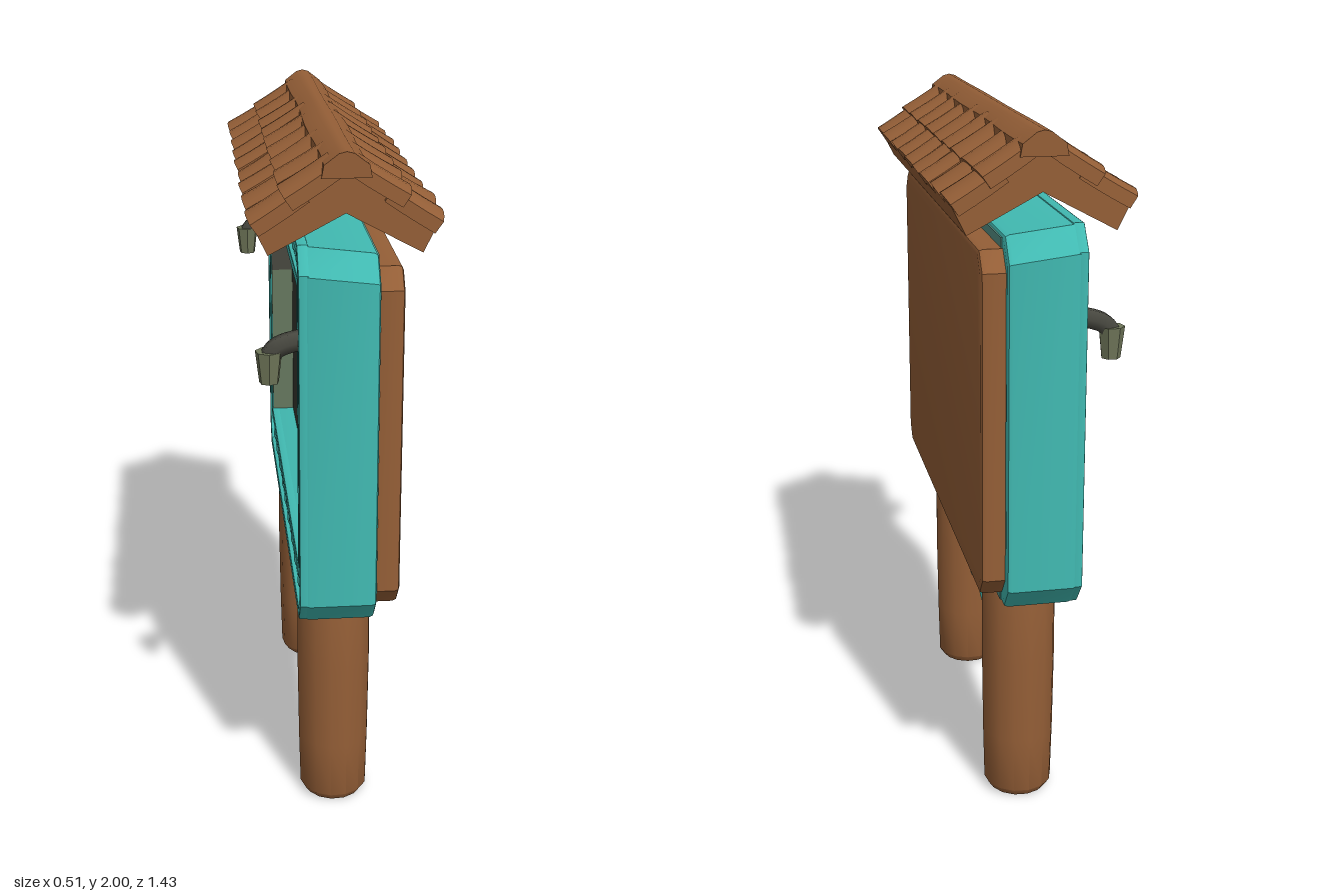
import * as THREE from 'three';
import { toCreasedNormals } from 'three/addons/utils/BufferGeometryUtils.js';

const mat = (name, color) => {
  const m = new THREE.MeshStandardMaterial({ color });
  m.name = name;
  return m;
};

// Small seeded generator for hand-cut irregularity
function seeded(seed) {
  return () => {
    seed = (seed * 16807) % 2147483647;
    return seed / 2147483647 - 0.5;
  };
}

// Rectangle with cut corners, in (z, y)
function cutRect(Type, halfW, y0, y1, c) {
  const p = new Type();
  p.moveTo(-halfW + c, y0);
  p.lineTo(halfW - c, y0);
  p.lineTo(halfW, y0 + c * 1.2);
  p.lineTo(halfW, y1 - c * 1.2);
  p.lineTo(halfW - c, y1);
  p.lineTo(-halfW + c, y1);
  p.lineTo(-halfW, y1 - c * 1.2);
  p.lineTo(-halfW, y0 + c * 1.2);
  p.closePath();
  return p;
}

// Extrude a (z, y) shape along x from x0 to x1
function slab(shape, x0, x1, bevel) {
  const g = new THREE.ExtrudeGeometry(shape, {
    depth: x1 - x0 - 2 * bevel, bevelEnabled: bevel > 0,
    bevelThickness: bevel, bevelSize: bevel, bevelOffset: -bevel, bevelSegments: 2,
  });
  g.rotateY(Math.PI / 2);
  g.translate(x0 + bevel, 0, 0);
  return toCreasedNormals(g, 0.6);
}

function ring(outer, inner) {
  const s = cutRect(THREE.Shape, ...outer);
  s.holes.push(cutRect(THREE.Path, ...inner));
  return s;
}

const polygon = (pts) => new THREE.Shape(pts.map(([x, y]) => new THREE.Vector2(x, y)));

export function createModel() {
  const root = new THREE.Group();
  root.name = 'noticeBoard';
  const wood = mat('brownWood', 0x955f37);
  const teal = mat('tealPaint', 0x41bab2);
  const wornTeal = mat('wornTeal', 0x579387);
  const tan = mat('tanWood', 0x8d8558);
  const dark = mat('darkPanel', 0x36362f);
  const greyGreen = mat('greyGreenLining', 0x66785f);
  const olive = mat('oliveMetal', 0x70775a);
  const iron = mat('darkIron', 0x484840);
  const add = (name, geo, material, parent = root) => {
    const m = new THREE.Mesh(geo, material);
    m.name = name;
    parent.add(m);
    return m;
  };
  const box = (name, material, size, pos) =>
    add(name, new THREE.BoxGeometry(...size), material).position.set(...pos);
  const rnd = seeded(71);

  // Posts: logs with rounded feet
  for (const s of [1, -1]) {
    const profile = [[0, 0.005], [0.085, 0.008], [0.1, 0.03], [0.104, 0.2], [0.107, 0.45], [0.106, 0.66], [0.1, 0.71], [0, 0.715]]
      .map(([r, y]) => new THREE.Vector2(r, y));
    const post = add('post', toCreasedNormals(new THREE.LatheGeometry(profile, 14), 0.7), wood);
    post.position.set(-0.002, 0, s * 0.43);
    post.rotation.y = s * 0.3;
  }

  // Crossed braces made of crooked branches, bare wood on top of the upper half
  for (const s of [1, -1]) {
    const pts = [[0.36, 0.665], [0.24, 0.605], [0.15, 0.585], [0.07, 0.525], [0, 0.512], [-0.08, 0.495], [-0.17, 0.44], [-0.26, 0.415], [-0.36, 0.35]]
      .map(([z, y], i) => new THREE.Vector3(s * (0.018 + 0.006 * (i % 2)), y, s * z));
    add('brace', new THREE.TubeGeometry(new THREE.CatmullRomCurve3(pts), 24, 0.028, 7), teal);
    const bare = pts.slice(0, 4).map((p) => p.clone().add(new THREE.Vector3(0, 0.007, 0)));
    add('braceBareTop', new THREE.TubeGeometry(new THREE.CatmullRomCurve3(bare), 12, 0.026, 7), tan);
  }

  // Frame: deep teal surround with a top sloping down to the rear panel
  const frame = slab(ring([0.71, 0.7, 1.755, 0.055], [0.615, 0.85, 1.64, 0.002]), -0.107, 0.09, 0.014);
  const fp = frame.attributes.position;
  for (let i = 0; i < fp.count; i++) {
    if (fp.getY(i) > 1.66) fp.setY(i, fp.getY(i) - 0.12 * (fp.getX(i) + 0.107));
  }
  add('frame', frame, teal);
  add('frameOuterRim', slab(ring([0.708, 0.702, 1.757, 0.055], [0.682, 0.73, 1.73, 0.045]), -0.12, -0.09, 0.005), teal);
  add('frameInnerLip', slab(ring([0.645, 0.82, 1.67, 0.004], [0.615, 0.85, 1.64, 0.002]), -0.118, -0.09, 0.005), teal);

  // Worn strips along the rear edges of the frame
  box('wornStripTop', wornTeal, [0.006, 0.034, 1.26], [0.09, 1.704, 0]);
  box('wornStripBottom', wornTeal, [0.006, 0.034, 1.26], [0.09, 0.728, 0]);

  // Low carved knobs along the frame border
  const knobGeo = new THREE.SphereGeometry(1, 8, 5);
  const knob = (y, z, r) => {
    const k = add('frameKnob', knobGeo, teal);
    k.position.set(-0.105, y, z);
    k.scale.set(0.011, r, r * 1.3);
  };
  for (let i = 0; i < 9; i++) {
    const z = (i - 4) * 0.14;
    knob(0.775, z, 0.028);
    knob(1.7, z, 0.02);
  }
  for (let i = 0; i < 6; i++) for (const s of [1, -1]) knob(0.92 + i * 0.13, s * 0.664, 0.012);

  // Recessed dark board with lining at the sides
  box('darkBoard', dark, [0.05, 0.82, 1.26], [-0.02, 1.245, 0]);
  for (const s of [1, -1]) {
    box('recessLining', greyGreen, [0.07, 0.5, 0.008], [-0.079, 1.1, s * 0.612]);
    box('recessLiningUpper', iron, [0.07, 0.29, 0.008], [-0.079, 1.495, s * 0.612]);
  }

  // Rear wooden panel
  add('rearPanel', slab(cutRect(THREE.Shape, 0.685, 0.74, 1.695, 0.045), 0.07, 0.155, 0.014), wood);

  // Lamps: stout bent arm and tapered shade
  for (const s of [1, -1]) {
    const lamp = new THREE.Group();
    lamp.name = 'lamp';
    lamp.position.z = s * 0.665;
    root.add(lamp);
    const arm = new THREE.CatmullRomCurve3([[-0.1, 1.515], [-0.14, 1.507], [-0.175, 1.492], [-0.195, 1.465]]
      .map(([x, y]) => new THREE.Vector3(x, y, 0)));
    add('lampArm', new THREE.TubeGeometry(arm, 8, 0.028, 6), iron, lamp);
    const shade = add('lampShade', toCreasedNormals(new THREE.CylinderGeometry(0.036, 0.026, 0.085, 7), 0.5), olive, lamp);
    shade.position.set(-0.193, 1.443, 0);
  }

  // Roof core: thick chevron under the tiles
  const roof = new THREE.Group();
  roof.name = 'roof';
  root.add(roof);
  const core = polygon([[0, 1.965], [-0.23, 1.815], [-0.194, 1.742], [0, 1.845], [0.194, 1.742], [0.23, 1.815]]);
  const coreGeo = new THREE.ExtrudeGeometry(core, { depth: 1.39, bevelEnabled: false });
  coreGeo.translate(0, 0, -0.695);
  add('roofCore', coreGeo, wood, roof);

  // Curved tile: arched across z, flared at the lower edge
  function tileGeometry(len, width) {
    const g = new THREE.BoxGeometry(len, 0.036, width, 3, 1, 6);
    const p = g.attributes.position;
    for (let i = 0; i < p.count; i++) {
      const u = p.getX(i) / len + 0.5, v = (p.getZ(i) / width) * 2;
      p.setY(i, p.getY(i) - 0.016 * v * v + 0.006 * u * u);
      p.setZ(i, p.getZ(i) * (0.94 + 0.1 * u));
    }
    return toCreasedNormals(g, 0.6);
  }
  const tile = tileGeometry(0.15, 0.148);
  const rows = [-0.635, -0.48, -0.315, -0.165, -0.005, 0.15, 0.305, 0.47, 0.635];
  for (const s of [1, -1]) {
    const slope = new THREE.Group();
    slope.name = s > 0 ? 'leftRoofSlope' : 'rightRoofSlope';
    slope.rotation.y = s > 0 ? 0 : Math.PI;
    roof.add(slope);
    for (const z of rows) {
      const a = add('lowerTile', tile, wood, slope);
      a.position.set(0.174 + rnd() * 0.008, 1.861, s * z);
      a.rotation.set(rnd() * 0.1, rnd() * 0.1, -0.6 + rnd() * 0.06);
      const b = add('upperTile', tile, wood, slope);
      b.position.set(0.09, 1.924, s * z);
      b.rotation.set(rnd() * 0.08, rnd() * 0.1, -0.6 + rnd() * 0.05);
    }
  }

  // Ridge cap
  const cap = polygon([[-0.064, 1.935], [0.064, 1.935], [0.058, 1.967], [0.02, 1.995], [0, 2], [-0.02, 1.995], [-0.058, 1.967]]);
  const capGeo = new THREE.ExtrudeGeometry(cap, { depth: 1.424, steps: 10, bevelEnabled: false });
  capGeo.translate(0, 0, -0.712);
  const cp = capGeo.attributes.position;
  for (let i = 0; i < cp.count; i++) cp.setX(i, cp.getX(i) * (0.97 + 0.06 * Math.sin(cp.getZ(i) * 9)));
  add('ridgeCap', toCreasedNormals(capGeo, 0.6), wood, roof);

  return root;
}
